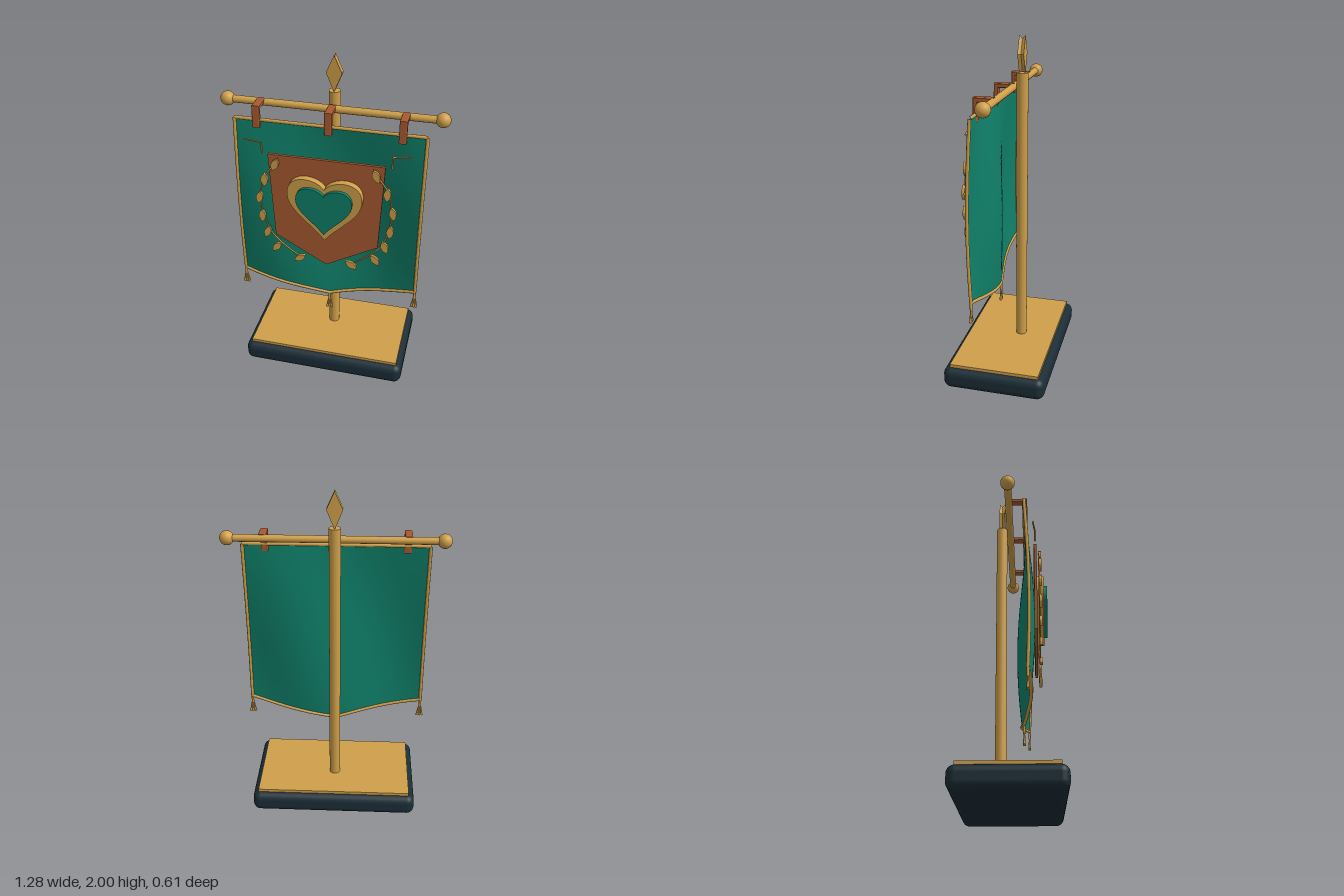
import * as THREE from 'three';
import { RoundedBoxGeometry } from 'three/addons/geometries/RoundedBoxGeometry.js';

const mat = (color, opts = {}) => {
  const m = new THREE.MeshStandardMaterial(opts);
  m.color.set(color);
  return m;
};
const gold = mat(0xcfa04a);
const teal = mat(0x0f8069, { side: THREE.DoubleSide });
const brown = mat(0xa85a30);
const dark = mat(0x1b2d36);

const W = 0.535, TOP = 1.645, SIDE = 0.61, TIP = 0.48;

// Hanging cloth: u runs across, v from the top edge to the pointed hem.
function clothPoint(u, v) {
  const x = (u * 2 - 1) * W;
  const bottom = TIP + (SIDE - TIP) * Math.abs(x) / W;
  const wave = -Math.sin((2 * Math.PI * (x + 0.08)) / 1.06);
  const z = 0.09 + 0.055 * Math.sin(Math.PI * 0.82 * v) * wave;
  return new THREE.Vector3(x, TOP + (bottom - TOP) * v, z);
}

function polygon(points) {
  return new THREE.Shape(points.map(([x, y]) => new THREE.Vector2(x, y)));
}

// Heart with its middle at the origin; s scales it.
function heartShape(s, Type = THREE.Shape) {
  const h = new Type();
  h.moveTo(0, 0.13 * s);
  h.bezierCurveTo(0.04 * s, 0.2 * s, 0.215 * s, 0.22 * s, 0.215 * s, 0.08 * s);
  h.bezierCurveTo(0.215 * s, -0.03 * s, 0.08 * s, -0.1 * s, 0, -0.21 * s);
  h.bezierCurveTo(-0.08 * s, -0.1 * s, -0.215 * s, -0.03 * s, -0.215 * s, 0.08 * s);
  h.bezierCurveTo(-0.215 * s, 0.22 * s, -0.04 * s, 0.2 * s, 0, 0.13 * s);
  return h;
}

export function createModel() {
  const root = new THREE.Group();
  root.name = 'standingBanner';

  const add = (name, geometry, material, x = 0, y = 0, z = 0, parent = root) => {
    const m = new THREE.Mesh(geometry, material);
    m.name = name;
    m.position.set(x, y, z);
    parent.add(m);
    return m;
  };
  const extrude = (shape, depth, opts = {}) =>
    new THREE.ExtrudeGeometry(shape, { depth, bevelEnabled: false, curveSegments: 14, ...opts });
  const tube = (points, r, segments = 24) =>
    new THREE.TubeGeometry(new THREE.CatmullRomCurve3(points), segments, r, 8);

  // Base and pole
  add('base', new RoundedBoxGeometry(1.01, 0.13, 0.606, 4, 0.045), dark, 0, 0.065, 0);
  add('basePlate', new THREE.BoxGeometry(0.94, 0.02, 0.53), gold, 0, 0.138, 0);
  add('pole', new THREE.CylinderGeometry(0.033, 0.033, 1.66, 20), gold, 0, 0.965, -0.055);

  // Spear finial: diamond blade with a groove around its rim
  const blade = extrude(polygon([[0, -0.105], [0.045, 0.005], [0, 0.105], [-0.045, 0.005]]), 0.036, { steps: 2 });
  const bp = blade.attributes.position;
  for (let i = 0; i < bp.count; i++) {
    if (Math.abs(bp.getZ(i) - 0.018) < 0.005) bp.setXY(i, bp.getX(i) * 0.8, bp.getY(i) * 0.8);
  }
  blade.computeVertexNormals();
  add('finial', blade, gold, 0, 1.895, -0.071);

  // Crossbar with ball ends
  add('crossbar', new THREE.CylinderGeometry(0.021, 0.021, 1.2, 16), gold, 0, 1.71, 0).rotation.z = Math.PI / 2;
  for (const s of [-1, 1]) add('crossbarBall', new THREE.SphereGeometry(0.041, 20, 14), gold, s * 0.6, 1.71, 0);

  // Cloth
  const cloth = new THREE.PlaneGeometry(1, 1, 48, 32);
  const cp = cloth.attributes.position;
  for (let i = 0; i < cp.count; i++) {
    const p = clothPoint(cp.getX(i) + 0.5, 0.5 - cp.getY(i));
    cp.setXYZ(i, p.x, p.y, p.z);
  }
  cloth.computeVertexNormals();
  add('cloth', cloth, teal);

  // Gold trim following the cloth edges
  const edge = (u0, v0, u1, v1) => Array.from({ length: 17 }, (_, i) =>
    clothPoint(u0 + ((u1 - u0) * i) / 16, v0 + ((v1 - v0) * i) / 16));
  add('topTrim', tube(edge(0, 0, 1, 0), 0.01), gold);
  add('rightTrim', tube(edge(0, 0, 0, 1), 0.01), gold);
  add('leftTrim', tube(edge(1, 0, 1, 1), 0.01), gold);
  add('rightHem', tube(edge(0, 1, 0.5, 1), 0.01), gold);
  add('leftHem', tube(edge(0.5, 1, 1, 1), 0.01), gold);

  // Tassels at the hem's corners and tip
  for (const u of [0, 0.5, 1]) {
    const t = new THREE.Group();
    t.name = 'tassel';
    t.position.copy(clothPoint(u, 1));
    root.add(t);
    add('tasselCord', new THREE.CylinderGeometry(0.008, 0.008, 0.05, 8), gold, 0, -0.025, 0, t);
    for (const s of [-1, 0, 1]) {
      const strand = add('tasselStrand', new THREE.CylinderGeometry(0.004, 0.008, 0.075, 6), gold, s * 0.01, -0.08, 0, t);
      strand.rotation.z = s * 0.15;
    }
  }

  // Bent straps from the crossbar to the cloth; profile given as z, y
  const strap = extrude(polygon([[0.0, 1.71], [0.084, 1.71], [0.09, 1.605], [0.107, 1.605],
    [0.104, 1.728], [0.0, 1.728]]), 0.03, { bevelEnabled: true, bevelSize: 0.004, bevelThickness: 0.006, bevelSegments: 1 });
  strap.rotateY(-Math.PI / 2);
  for (const x of [-0.405, 0, 0.405]) add('strap', strap, brown, x + 0.015, 0, 0);

  // Shield
  add('shield', extrude(polygon([[-0.33, 1.475], [-0.305, 0.94], [0, 0.765], [0.305, 0.94], [0.33, 1.475]]), 0.016),
    brown, 0, 0, 0.144);

  // Heart emblem: gold heart with a raised teal heart on it
  add('heartBorder', extrude(heartShape(1), 0.04), gold, 0, 1.18, 0.16);
  add('heartInlay', extrude(heartShape(0.75), 0.022), teal, 0, 1.18, 0.198);

  // Leaf branches and corner brackets, mirrored
  const leafShape = new THREE.Shape();
  leafShape.moveTo(-0.042, 0);
  leafShape.quadraticCurveTo(0, 0.042, 0.042, 0);
  leafShape.quadraticCurveTo(0, -0.042, -0.042, 0);
  const leafGeo = extrude(leafShape, 0.016, { curveSegments: 5 });
  // x, y, tilt in radians
  const leaves = [[0.285, 1.425, 1.15], [0.35, 1.32, 1.6], [0.385, 1.2, 1.35], [0.375, 1.075, 1.6],
    [0.348, 0.965, 1.2], [0.295, 0.865, 0.9], [0.155, 0.805, 0.6]];
  const stem = [[0.285, 1.43], [0.352, 1.33], [0.38, 1.2], [0.365, 1.07], [0.325, 0.96], [0.24, 0.87], [0.14, 0.80]];
  for (const s of [-1, 1]) {
    const branch = new THREE.Group();
    branch.name = s < 0 ? 'rightBranch' : 'leftBranch';
    root.add(branch);
    add('stem', tube(stem.map(([x, y]) => new THREE.Vector3(s * x, y, 0.172)), 0.005, 32), gold, 0, 0, 0, branch);
    for (const [x, y, a] of leaves) {
      add('leaf', leafGeo, gold, s * x, y, 0.17, branch).rotation.z = s < 0 ? a : Math.PI - a;
    }
    const arm = (a, b) => new THREE.TubeGeometry(
      new THREE.LineCurve3(new THREE.Vector3(...a), new THREE.Vector3(...b)), 1, 0.005, 6);
    add('cornerBracket', arm([s * 0.47, 1.54, 0.138], [s * 0.365, 1.54, 0.152]), gold);
    add('cornerBracket', arm([s * 0.365, 1.543, 0.152], [s * 0.365, 1.47, 0.152]), gold);
  }
  return root;
}
